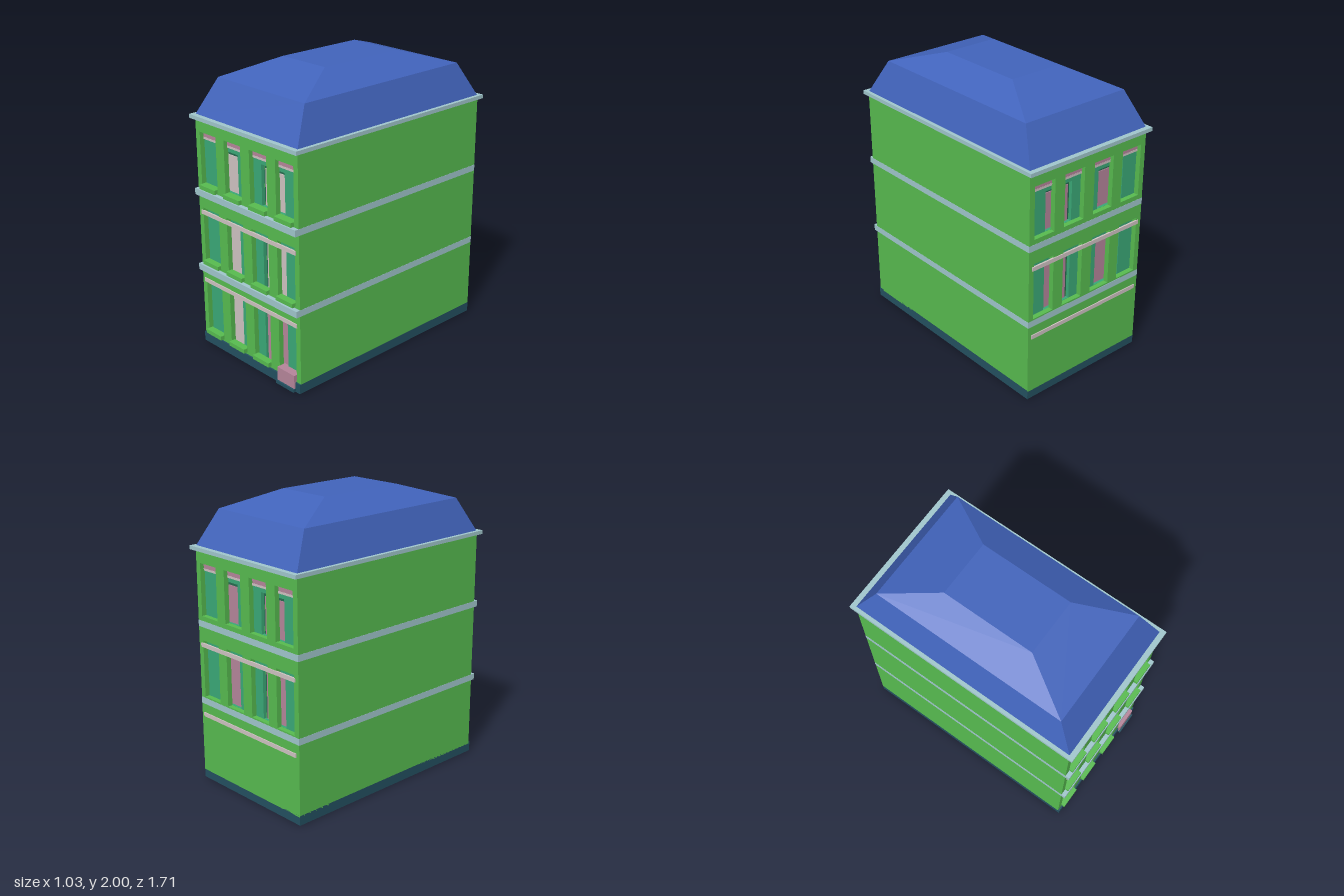
import * as THREE from 'three';

const mat = (name, color) => {
  const m = new THREE.MeshStandardMaterial({ color });
  m.name = name;
  return m;
};

export function createModel() {
  const green = mat('wall green', 0x57bb4f);
  const teal = mat('shutter teal', 0x3aa877);
  const darkGreen = mat('frame dark green', 0x266b50);
  const plinth = mat('plinth dark blue', 0x235060);
  const trim = mat('trim pale blue', 0xa0c6cc);
  const roofBlue = mat('roof blue', 0x4163bb);
  const mauve = mat('mauve', 0xb5859a);
  const pale = mat('pale pink', 0xcfc3c2);
  const brown = mat('floor brown', 0x8a4a12);

  const house = new THREE.Group();
  house.name = 'townHouse';

  const add = (parent, name, geo, material) => {
    const mesh = new THREE.Mesh(geo, material);
    mesh.name = name;
    parent.add(mesh);
    return mesh;
  };
  // Box given by its extents on each axis
  const box = (parent, name, material, x0, x1, y0, y1, z0, z1) => {
    const geo = new THREE.BoxGeometry(x1 - x0, y1 - y0, z1 - z0);
    geo.translate((x0 + x1) / 2, (y0 + y1) / 2, (z0 + z1) / 2);
    return add(parent, name, geo, material);
  };
  // Upright slab with rectangular holes [x0, x1, y0, y1]
  const rect = (P, [x0, x1, y0, y1]) =>
    new P([[x0, y0], [x1, y0], [x1, y1], [x0, y1]].map(p => new THREE.Vector2(...p)));
  const slab = (parent, name, material, outline, holes, z0, z1) => {
    const shape = rect(THREE.Shape, outline);
    shape.holes = holes.map(h => rect(THREE.Path, h));
    const geo = new THREE.ExtrudeGeometry(shape, { depth: z1 - z0, bevelEnabled: false });
    geo.translate(0, 0, z0);
    return add(parent, name, geo, material);
  };
  // Box whose top is narrower than its base
  const frustum = (name, material, x0, z0, x1, z1, y0, y1) => {
    const geo = new THREE.BoxGeometry(2, 1, 2);
    const p = geo.attributes.position;
    for (let i = 0; i < p.count; i++) {
      const top = p.getY(i) > 0;
      p.setXYZ(i, p.getX(i) * (top ? x1 : x0), top ? y1 : y0, p.getZ(i) * (top ? z1 : z0));
    }
    geo.computeVertexNormals();
    add(house, name, geo, material);
  };

  const W = 0.495, D = 0.825;
  const columns = [[-0.455, -0.29], [-0.2075, -0.0425], [0.0425, 0.2075], [0.29, 0.455]];
  const bays = [[-0.335, -0.115], [0.115, 0.335]];
  const floors = [
    { y0: 0.08, y1: 0.48, bayTop: 0.46, lintel: 0.465 },
    { y0: 0.61, y1: 1.01, bayTop: 0.96, lintel: 0.965 },
    { y0: 1.18, y1: 1.54, bayTop: 1.455 },
  ];

  // Core and side walls
  box(house, 'core', green, -0.47, 0.47, 0.06, 1.63, -0.75, 0.75);
  for (const s of [-1, 1]) {
    box(house, 'sideWall', green, s > 0 ? 0.475 : -W, s > 0 ? W : -0.475, 0.06, 1.63, -0.79, 0.79);
  }

  // Window wall: outer wall, recessed teal layer, inner panels
  const facade = (isFront) => {
    const g = new THREE.Group();
    g.name = isFront ? 'frontFacade' : 'backFacade';
    const openings = [], bayHoles = [];
    floors.forEach((f, level) => {
      if (f.lintel) box(g, 'lintelStrip', pale, -0.47, 0.467, f.lintel, f.lintel + 0.028, 0.82, 0.832);
      if (!isFront && level === 0) return;
      columns.forEach(([a, b], c) => {
        const isDoor = isFront && level === 0 && c === 3;
        openings.push([a, b, f.y0, f.y1]);
        if (isFront && !isDoor) {
          const sill = level === 0 ? 0.08 : f.y0 - 0.03;
          const top = level === 1 ? 0.635 : sill + 0.03;
          box(g, 'windowSill', green, a + 0.004, b - 0.004, level === 1 ? 0.607 : sill, top, 0.8, 0.85);
        }
        if (level === 2) {
          box(g, 'windowHead', mauve, a, b, 1.5, 1.539, 0.788, 0.796);
          box(g, 'windowHeadTrim', pale, a, b, 1.485, 1.5, 0.788, 0.797);
        }
      });
      bays.forEach(([a, b], i) => {
        const doorBay = isFront && level === 0 && i === 1;
        bayHoles.push([a, b, f.y0, f.bayTop]);
        box(g, 'bayFrame', doorBay ? pale : darkGreen, a, b, f.y0, f.bayTop, 0.752, 0.764);
        const inset = doorBay ? 0 : 0.016;
        box(g, 'bayPanel', isFront && !doorBay ? pale : mauve,
          a + inset, b - inset, f.y0, f.bayTop - 0.026, 0.762, 0.77);
      });
    });
    slab(g, 'outerWall', green, [-W, W, 0.06, 1.63], openings, 0.79, D);
    slab(g, 'recessedWall', teal, [-0.475, 0.475, 0.06, 1.63], bayHoles, 0.765, 0.789);
    if (!isFront) g.rotation.y = Math.PI;
    house.add(g);
  };
  facade(true);
  facade(false);

  // Door threshold and step
  box(house, 'doorThreshold', mauve, 0.288, 0.452, 0.026, 0.122, 0.78, 0.845);
  box(house, 'doorStep', plinth, 0.285, 0.455, 0.005, 0.026, 0.8, 0.857);

  // Plinth with floor plates beneath
  box(house, 'plinth', plinth, -W, W, 0.003, 0.07, -D, 0.836);
  box(house, 'floorPlateBrown', brown, 0, 0.24, 0, 0.004, -0.66, 0.62);
  box(house, 'floorPlateBlue', roofBlue, -0.36, -0.12, 0, 0.004, -0.7, 0.05);
  box(house, 'floorPlateTeal', teal, 0.27, 0.4, 0, 0.004, -0.7, 0.7);

  // Storey bands, projecting at the front only
  for (const [y0, y1] of [[0.555, 0.6], [1.103, 1.147]]) {
    box(house, 'storeyBand', trim, -W - 0.001, W + 0.001, y0, y1, -D - 0.001, 0.855);
  }

  // Cornice and two-pitch roof
  box(house, 'cornice', trim, -0.517, 0.517, 1.627, 1.653, -0.857, 0.857);
  frustum('lowerRoof', roofBlue, 0.493, 0.823, 0.412, 0.69, 1.65, 1.887);
  frustum('upperRoof', roofBlue, 0.412, 0.69, 0.198, 0.325, 1.887, 2);

  return house;
}
